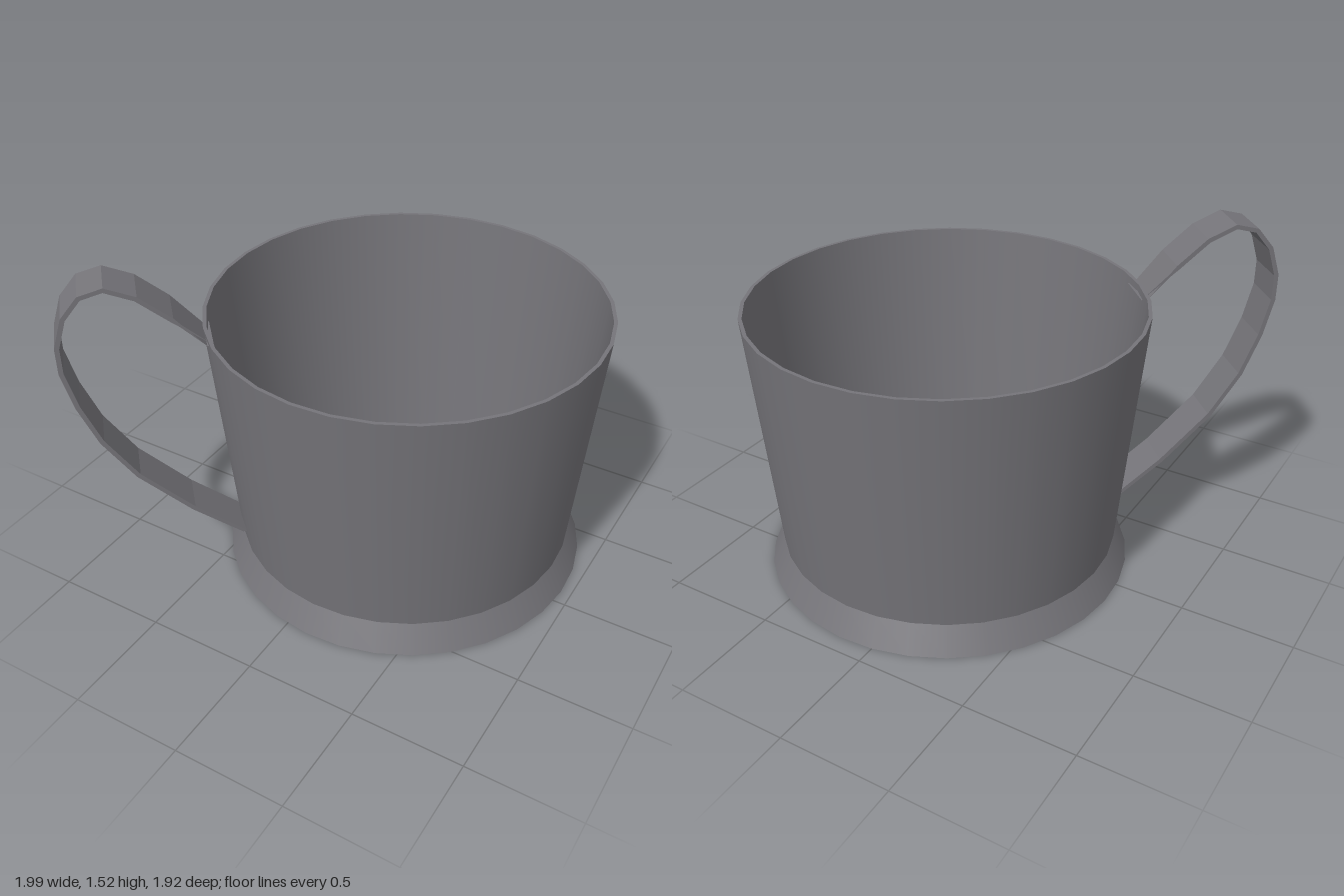
import * as THREE from 'three';

const SIDES = 32;
const HANDLE_WIDTH = 0.19;
const HANDLE_THICKNESS = 0.02;

// Cup profile (radius, height): underside, foot, outer wall, rim, inner wall, floor
const PROFILE = [[0, 0], [0.823, 0], [0.763, 0.125], [0.866, 1.235], [0.85, 1.235], [0.737, 0.06], [0, 0.06]];
const SECTIONS = ['underside', 'foot', 'outerWall', 'rim', 'innerWall', 'floor'];

// Outer edge of the handle (distance from cup axis, height), bottom to top
const HANDLE = [
  [0.777, 0.2], [0.99, 0.37], [1.207, 0.59], [1.337, 0.79], [1.412, 0.98], [1.453, 1.15], [1.453, 1.27],
  [1.412, 1.4], [1.337, 1.49], [1.235, 1.516], [1.112, 1.462], [0.982, 1.35], [0.86, 1.205],
];

// Handle strap: the curve and its inward offset, extruded to the strap width
function handleGeometry() {
  const outer = HANDLE.map(([r, y]) => new THREE.Vector2(r, y));
  const inner = outer.map((p, i) => {
    const a = outer[Math.max(i - 1, 0)];
    const b = outer[Math.min(i + 1, outer.length - 1)];
    const t = b.clone().sub(a).normalize();
    return new THREE.Vector2(p.x - t.y * HANDLE_THICKNESS, p.y + t.x * HANDLE_THICKNESS);
  });
  // Cut both ends level
  inner[0].set(outer[0].x - 0.027, outer[0].y);
  inner[inner.length - 1].set(outer[outer.length - 1].x - 0.027, outer[outer.length - 1].y);
  const shape = new THREE.Shape([...outer, ...inner.reverse()]);
  const geometry = new THREE.ExtrudeGeometry(shape, { depth: HANDLE_WIDTH, bevelEnabled: false });
  return geometry.translate(0, 0, -HANDLE_WIDTH / 2);
}

export function createModel() {
  const metal = new THREE.MeshStandardMaterial({ color: 0x757479 });
  metal.name = 'grey metal';

  const model = new THREE.Group();
  model.name = 'cup';
  model.position.set(0, 0, 0);

  // Everything is placed around the cup axis, slightly turned
  const body = new THREE.Group();
  body.name = 'cupBody';
  body.position.set(0.131, 0, -0.1);
  body.rotation.y = -0.037;
  model.add(body);

  // One lathe per profile section keeps the edges between them sharp
  SECTIONS.forEach((name, i) => {
    const points = [PROFILE[i], PROFILE[i + 1]].map(([r, y]) => new THREE.Vector2(r, y));
    const mesh = new THREE.Mesh(new THREE.LatheGeometry(points, SIDES), metal);
    mesh.name = name;
    body.add(mesh);
  });

  // Handle at the front right corner
  const handle = new THREE.Mesh(handleGeometry(), metal);
  handle.name = 'handle';
  handle.rotation.y = -Math.PI * 0.75;
  body.add(handle);

  return model;
}
